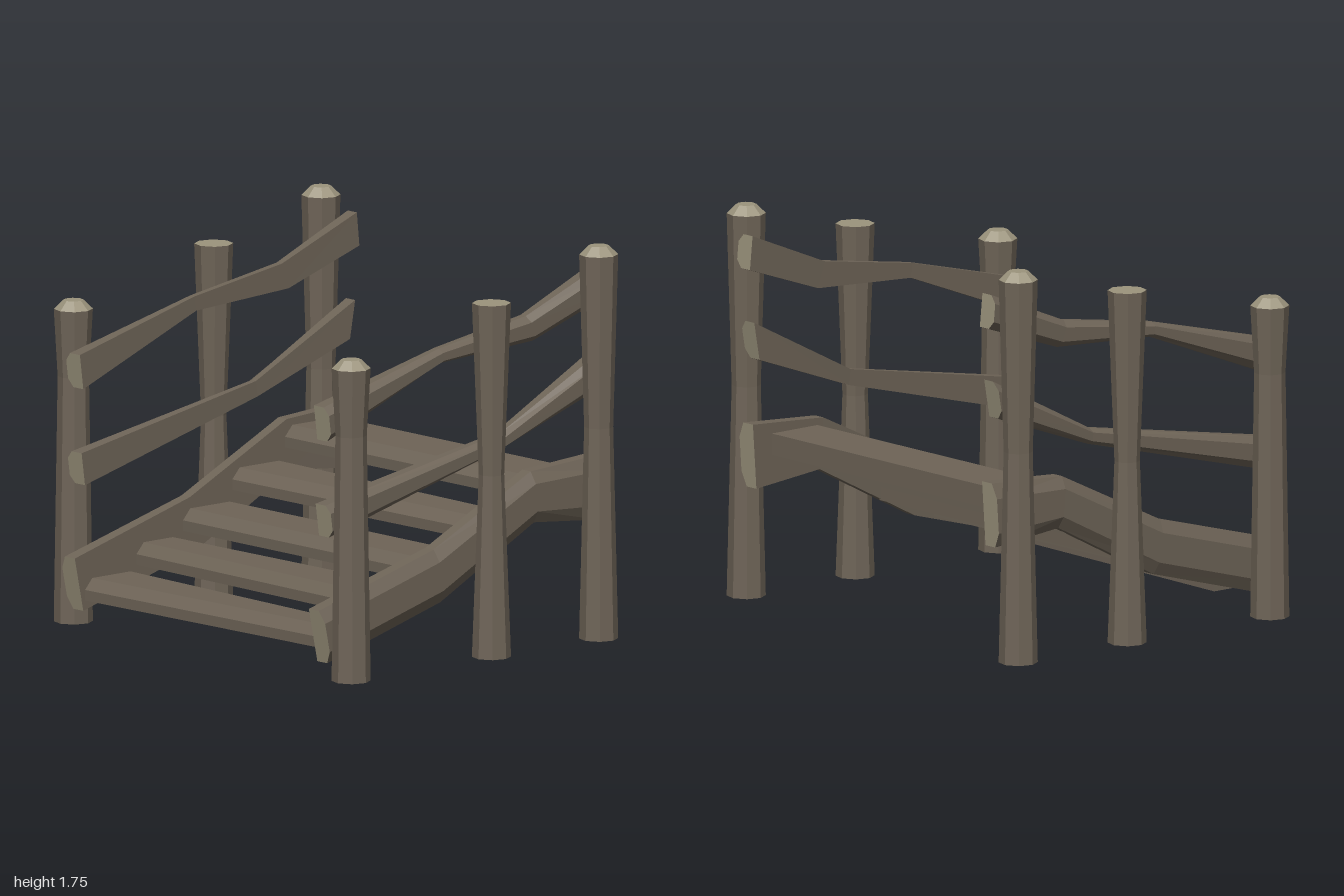
import * as THREE from 'three';

const wood = new THREE.MeshStandardMaterial({ color: 0x6e6457, flatShading: true });
wood.name = 'weathered wood';
const endGrain = new THREE.MeshStandardMaterial({ color: 0x9c947d, flatShading: true });
endGrain.name = 'pale end grain';

// Joins rings of points into a solid; group 0 is the skin, group 1 the two end caps
function loft(rings, flip = false) {
  const pos = [];
  const tri = (a, b, c) => pos.push(...a, ...(flip ? c : b), ...(flip ? b : c));
  const n = rings[0].length;
  for (let i = 0; i < rings.length - 1; i++) {
    for (let j = 0; j < n; j++) {
      const k = (j + 1) % n, r = rings[i], s = rings[i + 1];
      tri(r[j], r[k], s[k]);
      tri(r[j], s[k], s[j]);
    }
  }
  const skin = pos.length / 3;
  const first = rings[0], last = rings[rings.length - 1];
  for (let j = 1; j < n - 1; j++) {
    tri(first[0], first[j + 1], first[j]);
    tri(last[0], last[j], last[j + 1]);
  }
  const g = new THREE.BufferGeometry();
  g.setAttribute('position', new THREE.Float32BufferAttribute(pos, 3));
  g.addGroup(0, skin, 0);
  g.addGroup(skin, pos.length / 3 - skin, 1);
  g.computeVertexNormals();
  return g;
}

function addMesh(parent, name, geometry, material) {
  const mesh = new THREE.Mesh(geometry, material);
  mesh.name = name;
  parent.add(mesh);
  return mesh;
}

// Eight-sided post with a waist; a pale bevelled cap or a pale flat top
function makePost(name, x, z, height, waistY, waistR, bevelled) {
  const post = new THREE.Group();
  post.name = name;
  const shaftTop = bevelled ? height - 0.04 : height;
  const p = (r, y) => new THREE.Vector2(r, y);
  const shaft = [p(0, 0.005), p(0.086, 0.005), p(waistR, waistY), p(0.086, shaftTop)];
  const cap = bevelled
    ? [p(0.086, shaftTop), p(0.045, height), p(0, height)]
    : [p(0.086, height), p(0, height)];
  addMesh(post, name + 'Shaft', new THREE.LatheGeometry(shaft, 8), wood);
  addMesh(post, name + 'Cap', new THREE.LatheGeometry(cap, 8), endGrain);
  post.rotation.y = 0.12;
  post.position.set(x, 0, z);
  return post;
}

// Rail stations: [z top, y top, z bottom, y bottom, width]; only the outer edges are bevelled
function makeRail(name, side, stations) {
  const rings = stations.map(([zt, yt, zb, yb, w]) => {
    const at = (x, t) => [side * x, yb + (yt - yb) * t, zb + (zt - zb) * t];
    const inner = 0.8175 - w / 2, outer = 0.8175 + w / 2, bevel = outer - 0.03;
    return [at(inner, 0), at(inner, 1), at(bevel, 1), at(outer, 0.77), at(outer, 0.23), at(bevel, 0)];
  });
  const mesh = new THREE.Mesh(loft(rings, side < 0), [wood, endGrain]);
  mesh.name = name;
  return mesh;
}

// Plank with a bevelled front edge; back and front depths differ at each end
function makeTread(name, top, right, left) {
  const ring = (x, [back, front]) => [
    [x, top, back], [x, top, front - 0.043], [x, top - 0.048, front],
    [x, top - 0.095, front], [x, top - 0.095, back],
  ];
  const mesh = new THREE.Mesh(loft([ring(-0.785, right), ring(0.785, left)]), [wood, wood]);
  mesh.name = name;
  return mesh;
}

export function createModel() {
  const model = new THREE.Group();
  model.name = 'woodenSteps';

  // Posts and rails on both sides
  for (const side of [1, -1]) {
    const tag = side > 0 ? 'left' : 'right';
    model.add(makePost(tag + 'FrontPost', side * 0.914, 0.72, 1.44, 1.1, 0.069, true));
    model.add(makePost(tag + 'MiddlePost', side * 0.914, -0.105, 1.585, 0.82, 0.056, false));
    model.add(makePost(tag + 'BackPost', side * 0.914, -0.735, 1.76, 0.95, 0.064, true));

    model.add(makeRail(tag + 'Stringer', side, [
      [0.84, 0.32, 0.79, 0.08, 0.095],
      [0.16, 0.505, 0.12, 0.265, 0.085],
      [-0.41, 0.78, -0.43, 0.55, 0.085],
      [-0.82, 0.805, -0.8, 0.515, 0.095],
    ]));
    model.add(makeRail(tag + 'MiddleRail', side, [
      [0.8, 0.785, 0.78, 0.64, 0.095],
      [-0.24, 0.97, -0.25, 0.9, 0.06],
      [-0.81, 1.26, -0.78, 1.09, 0.09],
    ]));
    model.add(makeRail(tag + 'HandRail', side, [
      [0.81, 1.225, 0.79, 1.07, 0.095],
      [0.12, 1.395, 0.11, 1.33, 0.06],
      [-0.39, 1.475, -0.43, 1.36, 0.065],
      [-0.82, 1.65, -0.835, 1.5, 0.09],
    ]));
  }

  // Treads: top height, then back and front depth at the right and left ends
  const treads = [
    [0.22, [0.51, 0.78], [0.56, 0.73]],
    [0.34, [0.26, 0.475], [0.23, 0.505]],
    [0.455, [-0.075, 0.2], [-0.075, 0.2]],
    [0.6, [-0.365, -0.09], [-0.33, -0.12]],
    [0.75, [-0.71, -0.4], [-0.71, -0.4]],
  ];
  treads.forEach((t, i) => model.add(makeTread('tread' + (i + 1), ...t)));

  return model;
}
